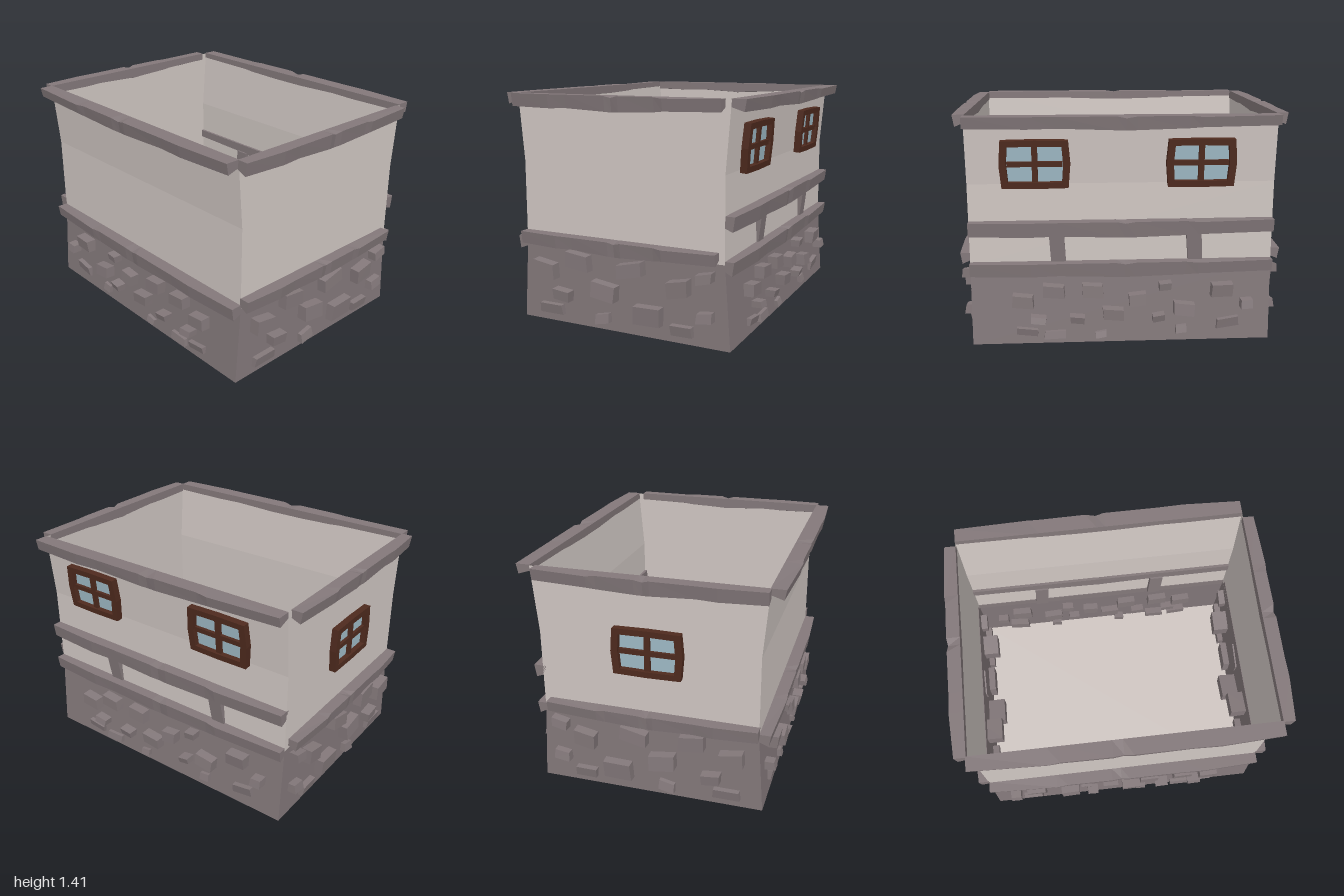
import * as THREE from 'three';

const mat = (name, hex, side = THREE.FrontSide) => {
  const m = new THREE.MeshStandardMaterial({ color: hex, side });
  m.name = name;
  return m;
};

// Skin over matching cross-sections, with faceted normals
function loft(rings, caps, closed = true) {
  const pos = [];
  const tri = (a, b, c) => pos.push(...a, ...b, ...c);
  const n = rings[0].length;
  for (let i = 0; i < rings.length - 1; i++) {
    for (let k = 0; k < (closed ? n : n - 1); k++) {
      const p = rings[i], q = rings[i + 1], j = (k + 1) % n;
      tri(p[k], p[j], q[j]);
      tri(p[k], q[j], q[k]);
    }
  }
  if (caps) {
    const s = rings[0], e = rings[rings.length - 1];
    for (let k = 1; k < n - 1; k++) {
      tri(e[0], e[k], e[k + 1]);
      tri(s[0], s[k + 1], s[k]);
    }
  }
  const g = new THREE.BufferGeometry();
  g.setAttribute('position', new THREE.Float32BufferAttribute(pos, 3));
  g.computeVertexNormals();
  return g;
}

// Hewn beam profile along its length: [position -1..1, outward offset, top chip, underside offset]
const HEWN = [
  [-1, -0.012, 0, 0.012], [-0.6, 0.004, 0, 0.008], [-0.42, 0, 0, 0.012], [-0.04, 0, 0, 0],
  [0.02, -0.008, 0.012, -0.004], [0.09, 0, 0, 0], [0.42, -0.003, 0, 0.008],
  [0.5, 0.003, 0.006, 0.014], [1, -0.012, 0, 0.02],
];

// Stones in wall coordinates: [x0, x1, y0, y1, shear, depth inside, depth outside]
const END_STONES = [
  [-0.59, -0.435, 0.28, 0.4, -0.15, 0.11, 0.065], [-0.355, -0.195, 0.355, 0.475, -0.13, 0.105, 0.06],
  [0, 0.17, 0.345, 0.465, 0.2, 0.01, 0.06], [0.33, 0.465, 0.275, 0.4, 0.18, 0.105, 0.065],
  [0.51, 0.61, 0.38, 0.46, 0.22, 0.045, 0.06], [-0.45, -0.335, 0.15, 0.23, -0.1, 0.045, 0.06],
  [-0.175, -0.01, 0.195, 0.315, -0.12, 0.115, 0.065], [0.105, 0.285, 0.08, 0.205, 0.04, 0.045, 0.055],
  [0.51, 0.61, 0.15, 0.225, 0.15, 0.045, 0.05], [-0.57, -0.4, 0.05, 0.115, 0, 0.04, 0.03],
  [-0.165, -0.065, 0.035, 0.115, 0.2, 0.04, 0.035], [0.34, 0.48, 0.05, 0.115, 0, 0.04, 0.035],
];
const SIDE_STONES = [
  [-0.67, -0.54, 0.235, 0.325, -0.1], [-0.485, -0.35, 0.295, 0.385, -0.1], [-0.245, -0.115, 0.295, 0.385, -0.08],
  [-0.12, 0.01, 0.15, 0.235, -0.1], [0.04, 0.145, 0.24, 0.325, 0.1], [0.225, 0.3, 0.335, 0.39, 0.1],
  [0.315, 0.445, 0.17, 0.26, -0.1], [0.545, 0.68, 0.285, 0.375, 0.05], [0.73, 0.805, 0.21, 0.27, 0.08],
  [0.585, 0.725, 0.07, 0.155, 0.15], [0.33, 0.4, 0.05, 0.105, 0.1], [0.185, 0.26, 0.135, 0.19, 0.15],
  [-0.165, -0.095, 0.03, 0.08, 0.15], [-0.32, -0.23, 0.135, 0.19, -0.1], [-0.56, -0.465, 0.14, 0.19, -0.1],
  [-0.65, -0.515, 0.05, 0.11, -0.1], [-0.48, -0.345, 0.03, 0.085, 0.05],
].map(s => [...s, 0.05, s[2] > 0.13 ? 0.062 : 0.025]);

export function createModel() {
  const stone = mat('greyStone', 0x83787a);
  const stoneShell = mat('greyStoneWall', 0x83787a, THREE.DoubleSide);
  const plaster = mat('palePlaster', 0xcfc6c2, THREE.DoubleSide);
  const wood = mat('darkWood', 0x4e2a1e);
  const glass = mat('paleBlueGlass', 0x9fbac6);
  const model = new THREE.Group();
  model.name = 'openRoofHouse';

  const add = (parent, name, geo, material, x = 0, y = 0, z = 0) => {
    const m = new THREE.Mesh(geo, material);
    m.name = name;
    m.position.set(x, y, z);
    parent.add(m);
    return m;
  };

  // Open-topped shell: leaning stone base, plaster walls flaring at the top
  const D = 0.917;
  const ring = (h, y) => [[h, y, D], [h, y, -D], [-h, y, -D], [-h, y, D]];
  add(model, 'stoneBase', loft([ring(0.703, 0), ring(0.667, 0.5)]), stoneShell);
  add(model, 'plasterWalls', loft([ring(0.667, 0.5), ring(0.664, 1), ring(0.697, 1.405)]), plaster);
  add(model, 'floor', new THREE.PlaneGeometry(1.406, 2 * D).rotateX(-Math.PI / 2), plaster);

  // Each wall is worked in its own frame: x along the wall, z outward
  const wall = (name, angle) => {
    const g = new THREE.Group();
    g.name = name;
    g.rotation.y = angle;
    model.add(g);
    return g;
  };

  function beam(parent, name, flip, cx, half, top, z, depth, height, inner) {
    const rings = HEWN.map(([t, out, chip, under]) => {
      const x = flip * (cx + t * half);
      return [[x, 0, -inner], [x, -chip, depth + out],
        [x, -height + under, depth + out - 0.012], [x, -height + under + 0.024, -inner]];
    });
    if (flip < 0) rings.reverse();
    add(parent, name, loft(rings, true), stone, 0, top, z);
  }

  function stones(parent, list, flip, wallZ) {
    list.forEach(([x0, x1, y0, y1, shear, inside, outside], i) => {
      const w = x1 - x0, h = y1 - y0 - Math.abs(shear) * w, cy = (y0 + y1) / 2;
      const g = new THREE.BoxGeometry(1, 1, 1).toNonIndexed();
      const p = g.attributes.position;
      for (let k = 0; k < p.count; k++) {
        const u = flip * p.getX(k), v = p.getY(k), outer = p.getZ(k) > 0;
        const s = outer ? 0.95 : 1;
        const rough = 0.05 * Math.sin(i * 7 + u * 5 + v * 3);
        p.setXYZ(k, flip * u * w * (s + rough), v * h * (s - rough) + shear * u * w,
          outer ? outside + 0.012 * v * Math.sin(i * 3) : -inside);
      }
      g.computeVertexNormals();
      add(parent, 'wallStone', g, stone, flip * (x0 + x1) / 2, cy, wallZ(cy));
    });
  }

  // Bulging four-pane window
  function windowUnit(parent, x, y, z, w, tilt) {
    const g = new THREE.Group();
    g.name = 'window';
    g.position.set(x, y, z);
    g.rotation.x = tilt;
    parent.add(g);
    const outline = (a, b, bulge) => [[-a, -b], [0, -b - bulge * 0.3], [a, -b], [a + bulge, 0],
      [a, b], [0, b + bulge * 0.3], [-a, b], [-a - bulge, 0]].map(q => new THREE.Vector2(...q));
    const shape = new THREE.Shape(outline(w - 0.012, 0.142, 0.012));
    shape.holes.push(new THREE.Path(outline(w - 0.05, 0.107, 0.008)));
    add(g, 'windowFrame', new THREE.ExtrudeGeometry(shape, { depth: 0.042, bevelEnabled: false }), wood, 0, 0, 0.002);
    add(g, 'windowUpright', new THREE.BoxGeometry(0.034, 0.222, 0.026), wood, 0, 0, 0.018);
    add(g, 'windowCrossbar', new THREE.BoxGeometry(2 * w - 0.09, 0.03, 0.026), wood, 0, 0, 0.018);
    add(g, 'windowGlass', new THREE.BoxGeometry(2 * w - 0.075, 0.23, 0.008), glass, 0, 0, 0.008);
  }

  // Front and back walls
  const ends = [wall('frontWall', 0), wall('backWall', Math.PI)];
  ends.forEach((g, i) => {
    const flip = i ? -1 : 1;
    beam(g, 'topBeam', flip, -0.02, 0.68, 1.41, D, 0.078, 0.09, 0.004);
    beam(g, 'lowerBeam', flip, -0.02, 0.65, 0.567, D, 0.075, 0.088, 0.004);
    stones(g, END_STONES, flip, () => D);
  });
  windowUnit(ends[1], 0.01, 0.955, D, 0.215, 0);

  // Side walls
  const sides = [wall('windowSideWall', Math.PI / 2), wall('plainSideWall', -Math.PI / 2)];
  sides.forEach((g, i) => {
    const flip = i ? -1 : 1;
    beam(g, 'topBeam', flip, 0, D, 1.41, 0.697, 0.096, 0.08, 0.004);
    beam(g, 'lowerBeam', flip, 0, D, 0.52, 0.667, i ? 0.08 : 0.066, 0.092, 0.004);
    stones(g, SIDE_STONES, flip, y => 0.703 - 0.072 * y);
  });

  // Timbered rail, braces and windows on one side
  const side = sides[0];
  beam(side, 'middleBeam', 1, 0, D, 0.775, 0.665, 0.07, 0.098, 0.018);
  for (const [x, lean] of [[-0.39, -0.006], [0.44, -0.008]]) {
    const section = (dx, y, out) => [[x + dx - 0.045, y, out], [x + dx + 0.045, y, out],
      [x + dx + 0.045, y, -0.03], [x + dx - 0.045, y, -0.03]];
    add(side, 'brace', loft([section(-lean, 0.5, 0.012), section(lean, 0.72, 0.042)], true), stone, 0, 0, 0.665);
  }
  for (const x of [-0.513, 0.467]) windowUnit(side, x, 1.125, 0.674, 0.208, 0.0812);

  return model;
}
